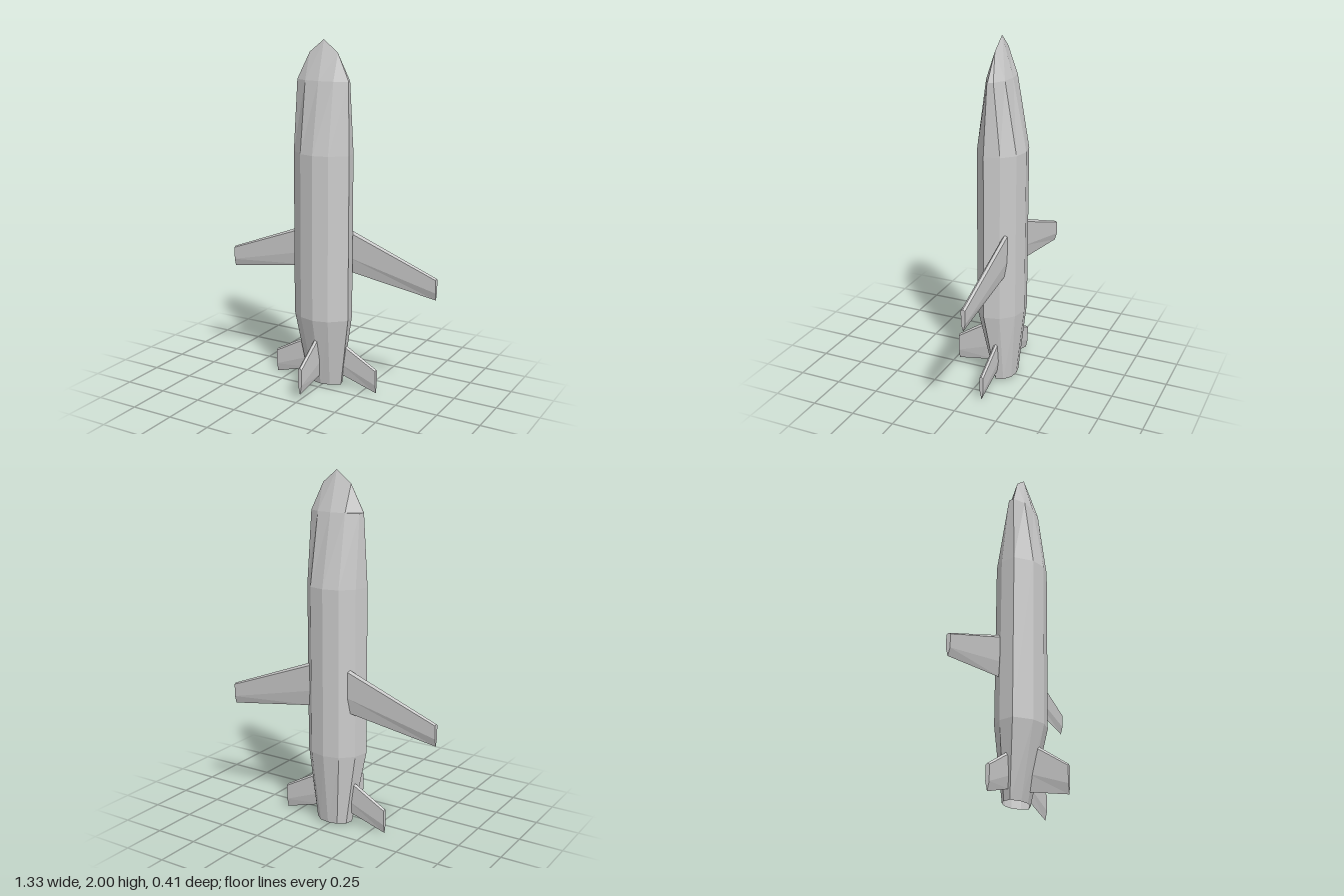
import * as THREE from 'three';

const material = new THREE.MeshStandardMaterial({
  color: 0xcccccc, flatShading: true, side: THREE.DoubleSide,
});

// Skin a list of equal-length point loops, optionally closing both ends
function loft(name, rings, capped) {
  const pos = [];
  const tri = (a, b, c) => {
    const area = b.clone().sub(a).cross(c.clone().sub(a)).length();
    if (area > 1e-7) for (const p of [a, b, c]) pos.push(p.x, p.y, p.z);
  };
  const n = rings[0].length;
  for (let r = 0; r < rings.length - 1; r++) {
    for (let i = 0; i < n; i++) {
      const j = (i + 1) % n;
      tri(rings[r][i], rings[r][j], rings[r + 1][j]);
      tri(rings[r][i], rings[r + 1][j], rings[r + 1][i]);
    }
  }
  if (capped) {
    const first = rings[0], last = rings[rings.length - 1];
    for (let i = 1; i < n - 1; i++) {
      tri(first[0], first[i + 1], first[i]);
      tri(last[0], last[i], last[i + 1]);
    }
  }
  const geo = new THREE.BufferGeometry();
  geo.setAttribute('position', new THREE.Float32BufferAttribute(pos, 3));
  geo.computeVertexNormals();
  const mesh = new THREE.Mesh(geo, material);
  mesh.name = name;
  return mesh;
}

// Mirror a half section [x, y, z] (front to back) into a closed loop
function mirrored(half) {
  const right = half.map(([x, y, z]) => new THREE.Vector3(x, y, z));
  const left = half.slice(1, -1).reverse().map(([x, y, z]) => new THREE.Vector3(-x, y, z));
  return [...right, ...left];
}

// Tapered blade along +x: ridged leading edge, flat sides, sharp trailing edge
function blade(name, root, tip, halfThickness) {
  const section = [[0, 0], [0.06, 1], [0.65, 1], [1, 0], [0.65, -1], [0.06, -1]];
  const ring = ([x, top, bottom]) => section.map(([t, s]) =>
    new THREE.Vector3(x, top + (bottom - top) * t, s * halfThickness));
  return loft(name, [ring(root), ring(tip)], true);
}

export function createModel() {
  const model = new THREE.Group();
  model.name = 'cruiseMissile';

  // Fuselage: ten-sided hull with a tapered open tail and a chisel nose
  const hull = [[0, 0.067], [0.088, 0.046], [0.176, -0.032], [0.156, -0.12], [0.09, -0.187], [0, -0.207]];
  const at = (y) => hull.map(([x, z]) => [x, y, z]);
  const tail = hull.map(([x, z]) => [x * 0.62, 0.01, -0.03 + 0.48 * (z - 0.067)]);
  const shoulder = [[0, 1.78, 0], [0.088, 1.78, -0.01], [0.16, 1.78, -0.047],
    [0.153, 1.78, -0.08], [0.086, 1.78, -0.117], [0, 1.78, -0.127]];
  const nose = [[0, 2, -0.062], [0.088, 1.93, -0.06], [0.16, 1.78, -0.05],
    [0.16, 1.78, -0.05], [0.088, 1.93, -0.06], [0, 2, -0.062]];
  model.add(loft('fuselage', [tail, at(0.43), at(1.38), shoulder, nose].map(mirrored), false));

  // Main wings and horizontal tail fins
  for (const [side, turn] of [['left', 0], ['right', Math.PI]]) {
    const wing = blade(side + 'Wing', [0.12, 0.941, 0.689], [0.665, 0.73, 0.605], 0.012);
    wing.position.z = -0.14;
    wing.rotation.y = turn;
    const fin = blade(side + 'TailFin', [0.1, 0.276, 0.07], [0.332, 0.145, 0], 0.011);
    fin.position.z = -0.088;
    fin.rotation.y = turn;
    model.add(wing, fin);
  }

  // Vertical tail fin
  const rudder = blade('verticalTailFin', [-0.03, 0.352, 0.07], [0.207, 0.19, 0.03], 0.011);
  rudder.rotation.y = -Math.PI / 2;
  model.add(rudder);

  return model;
}
